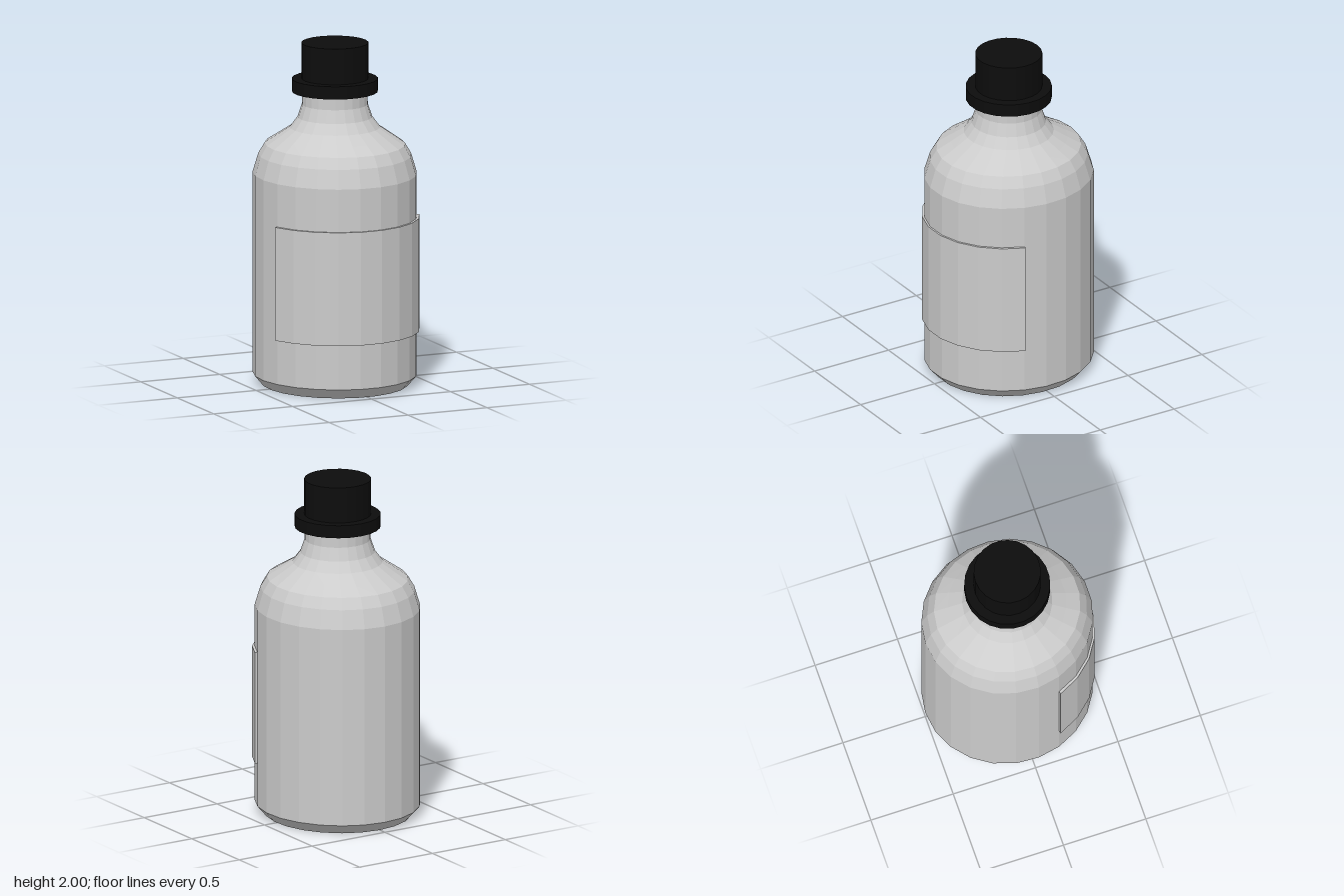
import * as THREE from 'three';

const SIDES = 23;
const STEP = (Math.PI * 2) / SIDES;
const CENTER_Z = -0.003;
const FLATTEN = 0.942; // body width relative to its depth

// Faceted turned part: profile of [radius, y] pairs from bottom to top, one corner at the back
function turned(name, profile, material) {
  const geo = new THREE.LatheGeometry(profile.map(([r, y]) => new THREE.Vector2(r, y)), SIDES);
  geo.rotateY(Math.PI);
  const mesh = new THREE.Mesh(geo, material);
  mesh.name = name;
  mesh.position.z = CENTER_Z;
  return mesh;
}

export function createModel() {
  const model = new THREE.Group();
  model.name = 'bottle';
  const grey = new THREE.MeshStandardMaterial({ color: 0xcccccc, flatShading: true });
  const black = new THREE.MeshStandardMaterial({ color: 0x0d0d0d, flatShading: true });

  // Bottle body: oval up to the shoulder, blending to a round neck
  const body = turned('body', [
    [0, 0], [0.443, 0], [0.497, 0.06], [0.497, 1.236], [0.463, 1.345], [0.424, 1.408],
    [0.342, 1.455], [0.26, 1.505], [0.215, 1.565], [0.19, 1.64], [0.188, 1.75],
  ], grey);
  const pos = body.geometry.attributes.position;
  for (let i = 0; i < pos.count; i++) {
    const t = THREE.MathUtils.clamp((pos.getY(i) - 1.408) / 0.1, 0, 1);
    pos.setX(i, pos.getX(i) * THREE.MathUtils.lerp(FLATTEN, 1, t));
  }
  body.geometry.computeVertexNormals();
  model.add(body);

  // Cap with a collar at its foot
  model.add(turned('cap', [
    [0, 1.715], [0.248, 1.715], [0.248, 1.79], [0.193, 1.79], [0.193, 2], [0, 2],
  ], black));

  // Raised label wrapped around the front nine facets
  const arc = (rx, rz) => Array.from({ length: 10 }, (_, i) => {
    const a = (i - 4.5) * STEP;
    return new THREE.Vector2(rx * Math.sin(a), rz * Math.cos(a));
  });
  const outline = [...arc(0.485, 0.5075), ...arc(0.466, 0.495).reverse()];
  const labelGeo = new THREE.ExtrudeGeometry(new THREE.Shape(outline), { depth: 0.665, bevelEnabled: false });
  labelGeo.rotateX(Math.PI / 2);
  const label = new THREE.Mesh(labelGeo, grey);
  label.name = 'label';
  label.position.set(0, 0.985, CENTER_Z);
  model.add(label);

  return model;
}
